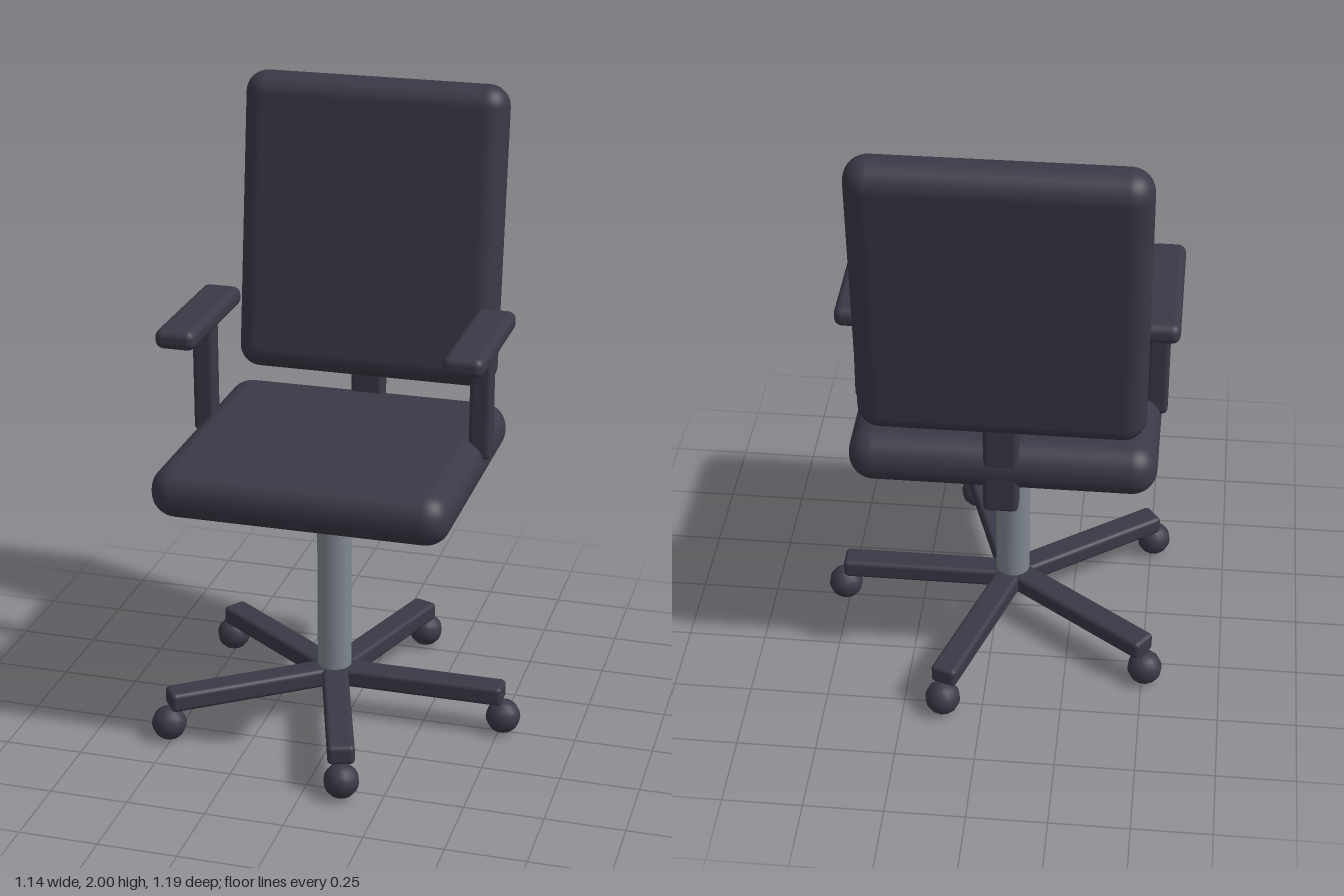
import * as THREE from 'three';
import { RoundedBoxGeometry } from 'three/addons/geometries/RoundedBoxGeometry.js';

const CENTRE_X = -0.052; // the chair's axis; the odd spoke reaches out to +x

export function createModel() {
  const model = new THREE.Group();
  model.name = 'officeChair';

  const dark = new THREE.MeshStandardMaterial({ color: 0x3a3947 });
  dark.name = 'charcoal';
  const steel = new THREE.MeshStandardMaterial({ color: 0x808791 });
  steel.name = 'steel';

  const add = (parent, name, geometry, material, x, y, z) => {
    const mesh = new THREE.Mesh(geometry, material);
    mesh.name = name;
    mesh.position.set(x, y, z);
    parent.add(mesh);
    return mesh;
  };
  const rounded = (w, h, d, r, segments = 3) => new RoundedBoxGeometry(w, h, d, segments, r);

  const chair = new THREE.Group();
  chair.name = 'chair';
  chair.position.x = CENTRE_X;
  model.add(chair);

  // Cushions
  add(chair, 'seat', rounded(0.94, 0.165, 0.905, 0.078, 5), dark, 0, 0.8925, 0);
  const back = add(chair, 'backrest', rounded(0.865, 0.975, 0.146, 0.07, 5), dark, 0, 1.515, -0.454);
  back.rotation.x = -0.125;

  // Bracket joining the backrest to the seat
  add(chair, 'backSupport', rounded(0.108, 0.4, 0.07, 0.016), dark, 0, 0.945, -0.415);

  // Armrests
  for (const side of [-1, 1]) {
    const arm = new THREE.Group();
    arm.name = side > 0 ? 'leftArmrest' : 'rightArmrest';
    chair.add(arm);
    add(arm, 'armPost', rounded(0.07, 0.4, 0.07, 0.016), dark, side * 0.453, 1.112, -0.093);
    add(arm, 'armPad', rounded(0.129, 0.064, 0.49, 0.026), dark, side * 0.454, 1.309, -0.04);
  }

  // Gas lift column
  add(chair, 'column', new THREE.CylinderGeometry(0.055, 0.055, 0.67, 20), steel, 0, 0.465, 0);

  // Five-spoke base, one ball caster under each tip
  const spokeLength = 0.565;
  const spokeGeometry = rounded(spokeLength, 0.064, 0.085, 0.015);
  const casterGeometry = new THREE.SphereGeometry(0.056, 12, 10);
  for (let i = 0; i < 5; i++) {
    const spoke = new THREE.Group();
    spoke.name = 'baseSpoke' + (i + 1);
    spoke.rotation.y = (i * Math.PI * 2) / 5;
    chair.add(spoke);
    add(spoke, 'leg', spokeGeometry, dark, spokeLength / 2, 0.138, 0);
    add(spoke, 'caster', casterGeometry, dark, spokeLength, 0.056, 0).rotation.y = Math.PI / 12;
  }

  return model;
}
